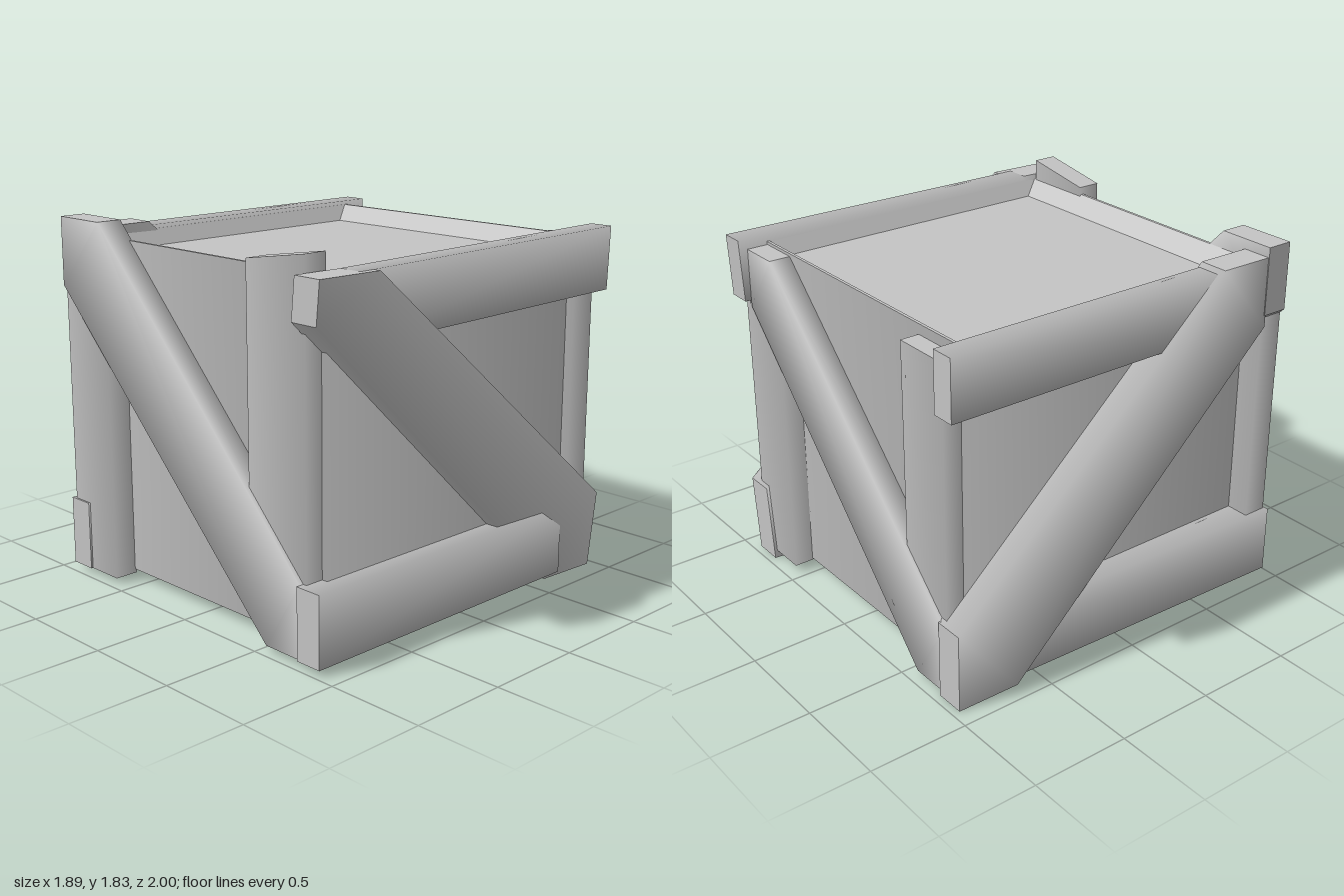
import * as THREE from 'three';

const wood = new THREE.MeshStandardMaterial({ color: 0xc4c4c4, side: THREE.DoubleSide });
wood.name = 'grey wood';

// Plank cut from an outline [corner, upper a, upper b, corner, lower b, lower a] (or just its
// two long edges), with shading rounded across the grain and flat ends.
// axis 'z': outline is (x, y), depth along z; axis 'x': outline is (z, y), depth along x.
// skew and lean slide the depth along the outline's first axis and along y.
function plank(name, axis, outline, near, far, skew = 0, lean = 0) {
  let p = outline.map(([u, y]) => new THREE.Vector2(u, y));
  if (p.length === 4) {
    const mid = (a, b) => a.clone().add(b).multiplyScalar(0.5);
    p = [mid(p[0], p[3]), p[0], p[1], mid(p[1], p[2]), p[2], p[3]];
  }
  const centre = p.reduce((s, q) => s.add(q), new THREE.Vector2()).divideScalar(6);
  const edgeNormal = (a, b) => {
    const n = new THREE.Vector2(b.y - a.y, a.x - b.x).normalize();
    return n.dot(a.clone().sub(centre)) < 0 ? n.negate() : n;
  };
  const upper = edgeNormal(p[1], p[2]), lower = edgeNormal(p[4], p[5]);
  const none = new THREE.Vector2();
  const side = [none, upper, upper, none, lower, lower];
  const place = (q, w) => axis === 'z' ? new THREE.Vector3(q.x, q.y, w) : new THREE.Vector3(w, q.y, q.x);
  const positions = [], normals = [];

  // corner = [outline index, end of depth (-1 or 1), optional flat normal]
  const triangle = (...corners) => {
    const v = corners.map(([i, s]) => place(p[i], (s < 0 ? near : far) + skew * p[i].x + lean * p[i].y));
    const n = corners.map(([i, s, flat]) => (flat ? place(flat, 0) : place(side[i], s)).normalize());
    const face = v[1].clone().sub(v[0]).cross(v[2].clone().sub(v[0]));
    const sum = n[0].clone().add(n[1]).add(n[2]);
    for (const k of face.dot(sum) < 0 ? [0, 2, 1] : [0, 1, 2]) {
      positions.push(...v[k].toArray());
      normals.push(...n[k].toArray());
    }
  };
  for (const s of [-1, 1]) {
    for (const t of [[0, 1, 5], [1, 2, 4], [1, 4, 5], [2, 3, 4]]) triangle(...t.map((i) => [i, s]));
  }
  for (let i = 0; i < 6; i++) {
    const j = (i + 1) % 6;
    const flat = i === 1 || i === 4 ? undefined : edgeNormal(p[i], p[j]);
    triangle([i, -1, flat], [j, -1, flat], [j, 1, flat]);
    triangle([i, -1, flat], [j, 1, flat], [i, 1, flat]);
  }
  const geometry = new THREE.BufferGeometry();
  geometry.setAttribute('position', new THREE.Float32BufferAttribute(positions, 3));
  geometry.setAttribute('normal', new THREE.Float32BufferAttribute(normals, 3));
  const mesh = new THREE.Mesh(geometry, wood);
  mesh.name = name;
  return mesh;
}

const rail = (a, b, y0, y1) => [[a, y1], [b, y1], [b, y0], [a, y0]];
const post = (a, b, y0, ya, yb = ya) => [[a, y0], [a, ya], [b, yb], [b, y0]];

// Four-sided open ring, smooth around its upright corners
function ring(hx, hz, height) {
  return new THREE.CylinderGeometry(Math.SQRT2, Math.SQRT2, height, 4, 1, true).rotateY(Math.PI / 4).scale(hx, 1, hz);
}

// Flat-sided border between two rectangles [half x, half z, y]
function border(outer, inner) {
  const geometry = ring(1, 1, 1).toNonIndexed();
  const pos = geometry.attributes.position;
  for (let i = 0; i < pos.count; i++) {
    const [hx, hz, y] = pos.getY(i) > 0 ? outer : inner;
    pos.setXYZ(i, Math.sign(pos.getX(i)) * hx, y, Math.sign(pos.getZ(i)) * hz);
  }
  geometry.computeVertexNormals();
  return geometry;
}

function createBody() {
  const body = new THREE.Group();
  body.name = 'crateBody';
  body.position.x = 0.01;
  const hx = 0.8, hz = 0.845, y0 = 0.05, y1 = 1.73, depth = 0.075;
  const lipX = 0.788, lipZ = 0.83, innerX = 0.73, innerZ = 0.735;
  const add = (name, geometry) => {
    const mesh = new THREE.Mesh(geometry, wood);
    mesh.name = name;
    body.add(mesh);
  };
  add('walls', ring(hx, hz, y1 - y0).translate(0, (y0 + y1) / 2, 0));

  // Sunken lid and base, each with a narrow lip and a sloping rim
  for (const [name, y, up] of [['lid', y1, 1], ['base', y0, -1]]) {
    const sunk = y - up * depth;
    add(name + 'Lip', border([hx, hz, y], [lipX, lipZ, y]));
    add(name + 'Rim', border([lipX, lipZ, y], [innerX, innerZ, sunk]));
    const panel = new THREE.PlaneGeometry(2 * innerX, 2 * innerZ).rotateX(-up * Math.PI / 2);
    add(name + 'Panel', panel.translate(0, sunk, 0));
  }
  return body;
}

export function createModel() {
  const crate = new THREE.Group();
  crate.name = 'crate';
  crate.add(createBody());

  // Front: two posts and a brace
  crate.add(
    plank('frontRightPost', 'z', post(-0.91, -0.59, 0.03, 1.6), 0.835, 0.96),
    plank('frontLeftPost', 'z', post(0.41, 0.78, 0.2, 1.77, 1.83), 0.82, 0.94),
    plank('frontBrace', 'z',
      [[-0.93, 1.82], [-0.63, 1.82], [0.76, 0.38], [0.76, 0.03], [0.54, 0.03], [-0.93, 1.48]], 0.83, 0.965),
  );

  // Back: two posts and a brace leaning the other way
  crate.add(
    plank('backRightPost', 'z', post(-0.79, -0.49, 0.2, 1.68), -0.94, -0.83),
    plank('backLeftPost', 'z', post(0.55, 0.855, 0.04, 1.6), -0.945, -0.8),
    plank('backBrace', 'z',
      [[0.79, 1.715], [0.58, 1.715], [-0.79, 0.38], [-0.79, 0.03], [-0.57, 0.03], [0.79, 1.42]], -0.955, -0.83),
  );

  // Left side: rails and a brace
  crate.add(
    plank('leftTopRail', 'x', [[-1, 1.765], [0.75, 1.75], [0.75, 1.43], [-0.985, 1.45]], 0.795, 0.915),
    plank('leftBottomRail', 'x', rail(-0.7, 0.98, 0.03, 0.38), 0.76, 0.9),
    plank('leftBrace', 'x',
      [[1, 1.75], [0.67, 1.75], [-0.96, 0.4], [-0.96, 0], [-0.63, 0], [1, 1.55]], 0.674, 0.824, -0.069, 0.1),
  );

  // Right side: rails and a brace
  crate.add(
    plank('rightTopRail', 'x', rail(-0.975, 0.65, 1.45, 1.75), -0.9, -0.78),
    plank('rightBottomRail', 'x', rail(-0.7, 0.97, 0.03, 0.38), -0.905, -0.765, -0.03),
    plank('rightBrace', 'x',
      [[0.84, 1.77], [0.55, 1.77], [-0.96, 0.4], [-0.96, 0], [-0.63, 0], [0.84, 1.42]], -0.916, -0.765, -0.012),
  );
  return crate;
}
